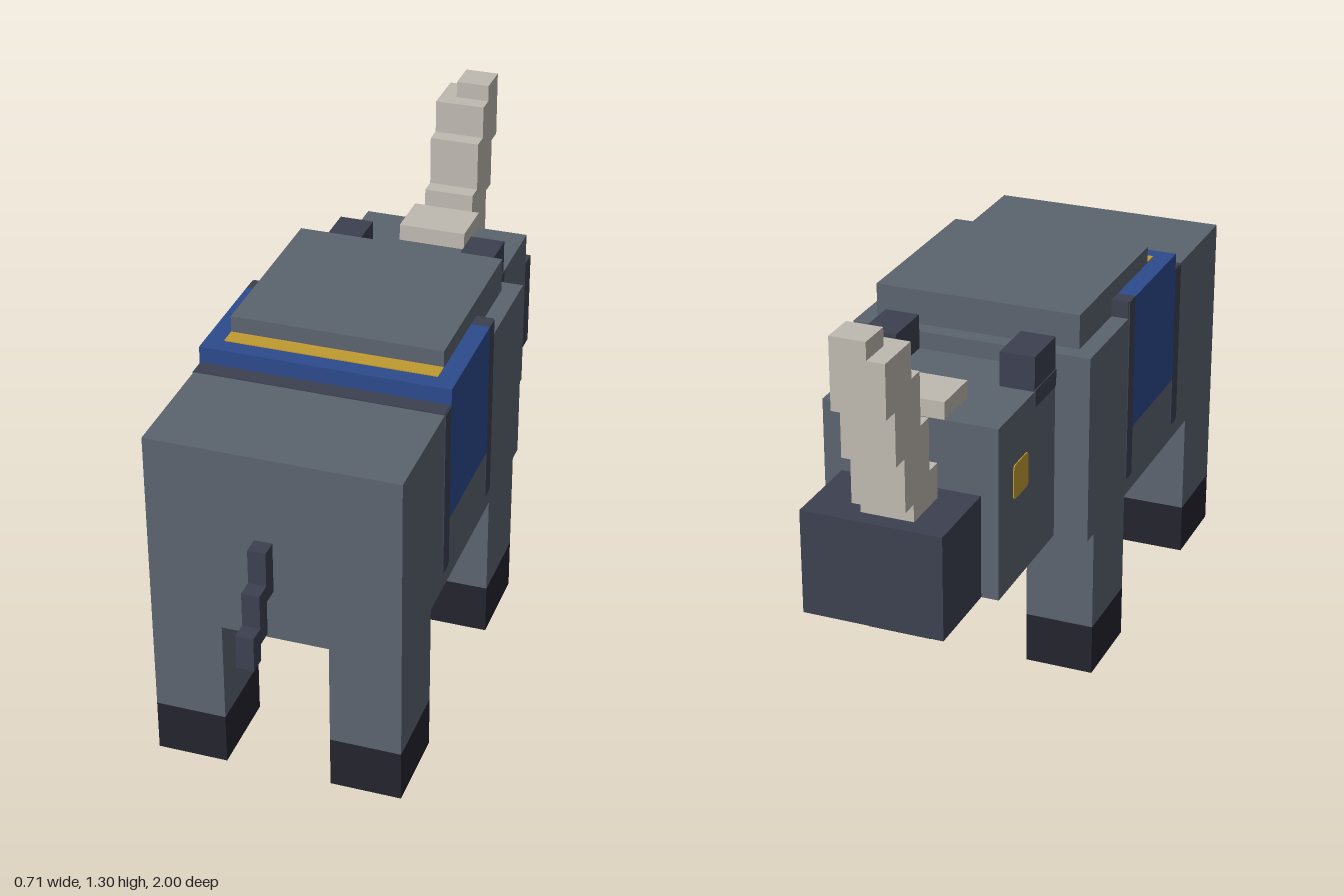
import * as THREE from 'three';

const paint = (name, color) => {
  const m = new THREE.MeshStandardMaterial({ color });
  m.name = name;
  return m;
};

export function createModel() {
  const hide = paint('slate hide', 0x5b636e);
  const dark = paint('dark slate', 0x3c4150);
  const hoofBlack = paint('hoof black', 0x23232e);
  const bone = paint('bone', 0xbeb9b0);
  const blue = paint('blanket blue', 0x2c4a8c);
  const gold = paint('gold', 0xc09a30);

  const group = new THREE.Group();
  group.name = 'hornedBeast';

  // Box given by its minimum and maximum on each axis
  const box = (name, mat, [x0, x1], [y0, y1], [z0, z1]) => {
    const mesh = new THREE.Mesh(new THREE.BoxGeometry(x1 - x0, y1 - y0, z1 - z0), mat);
    mesh.position.set((x0 + x1) / 2, (y0 + y1) / 2, (z0 + z1) / 2);
    mesh.name = name;
    group.add(mesh);
  };

  // Thin painted plate on a side face, with rounded bottom (rb) and top (rt) corners
  const T = 0.003;
  const plate = (name, mat, side, x, [y0, y1], [z0, z1], rb = 0, rt = 0) => {
    const w = (z1 - z0) / 2, h = (y1 - y0) / 2;
    const s = new THREE.Shape();
    s.moveTo(-w + rb, -h);
    s.lineTo(w - rb, -h);
    if (rb) s.quadraticCurveTo(w, -h, w, -h + rb);
    s.lineTo(w, h - rt);
    if (rt) s.quadraticCurveTo(w, h, w - rt, h);
    s.lineTo(-w + rt, h);
    if (rt) s.quadraticCurveTo(-w, h, -w, h - rt);
    s.lineTo(-w, -h + rb);
    if (rb) s.quadraticCurveTo(-w, -h, -w + rb, -h);
    const geo = new THREE.ExtrudeGeometry(s, { depth: T, bevelEnabled: false, curveSegments: 4 });
    const mesh = new THREE.Mesh(geo, mat);
    mesh.rotation.y = side * Math.PI / 2;
    mesh.position.set(side * x, (y0 + y1) / 2, (z0 + z1) / 2);
    mesh.name = name;
    group.add(mesh);
  };

  // Body, head and snout
  box('body', hide, [-0.35, 0.35], [0.45, 1], [-0.25, 0.85]);
  box('shoulderHump', hide, [-0.3, 0.3], [1, 1.1], [-0.2, 0.35]);
  box('head', hide, [-0.25, 0.25], [0.45, 0.95], [-0.65, -0.25]);
  box('snout', dark, [-0.2, 0.2], [0.45, 0.75], [-0.9, -0.65]);

  // Blanket over the back with its trims
  box('blanketTop', blue, [-0.35, 0.35], [1, 1.05], [0.1, 0.45]);
  box('frontStrapTop', dark, [-0.35, 0.35], [1, 1.05], [0.05, 0.1]);
  box('rearStrapTop', dark, [-0.35, 0.35], [1, 1 + T], [0.45, 0.5]);
  box('goldTrim', gold, [-0.3, 0.3], [1.05, 1.05 + T], [0.35, 0.4]);

  for (const side of [1, -1]) {
    const label = side > 0 ? 'left' : 'right';
    const span = (a, b) => (side > 0 ? [a, b] : [-b, -a]);

    // Legs and hooves
    for (const [end, z] of [['Front', [-0.2, 0.05]], ['Rear', [0.6, 0.85]]]) {
      box(label + end + 'Leg', hide, span(0.15, 0.35), [0.15, 0.45], z);
      box(label + end + 'Hoof', hoofBlack, span(0.15, 0.35), [0, 0.15], z);
    }

    // Blanket side and straps
    plate(label + 'BlanketSide', blue, side, 0.35, [0.65, 1.05], [0.1, 0.45]);
    plate(label + 'FrontStrap', dark, side, 0.35, [0.5, 1.05], [0.055, 0.1], 0.015);
    plate(label + 'RearStrap', dark, side, 0.35, [0.5, 1], [0.45, 0.5], 0.015);

    // Ear, ear base and eye
    box(label + 'Ear', dark, span(0.15, 0.25), [0.95, 1.05], [-0.4, -0.25]);
    plate(label + 'EarBase', dark, side, 0.25, [0.905, 0.955], [-0.4, -0.25], 0.015);
    plate(label + 'Eye', gold, side, 0.25, [0.7, 0.8], [-0.55, -0.45], 0.012, 0.012);
  }

  // Stepped main horn and small brow horn
  const hornSteps = [
    [[-0.1, 0.05], [0.75, 0.85], [-0.85, -0.7]],
    [[-0.1, 0.05], [0.8, 1], [-0.9, -0.75]],
    [[-0.1, 0.05], [0.95, 1.15], [-0.95, -0.8]],
    [[-0.1, 0.05], [1.1, 1.25], [-1, -0.85]],
    [[-0.05, 0.05], [1.25, 1.3], [-1, -0.9]],
  ];
  hornSteps.forEach((s, i) => box('hornStep' + (i + 1), bone, ...s));
  box('browHorn', bone, [-0.1, 0.1], [0.95, 1], [-0.65, -0.5]);

  // Stepped tail
  [[0.6, 0.75], [0.5, 0.65], [0.45, 0.55]].forEach((y, i) =>
    box('tailStep' + (i + 1), dark, [-0.05, 0], y, [0.85 + i * 0.05, 0.9 + i * 0.05]));

  return group;
}
